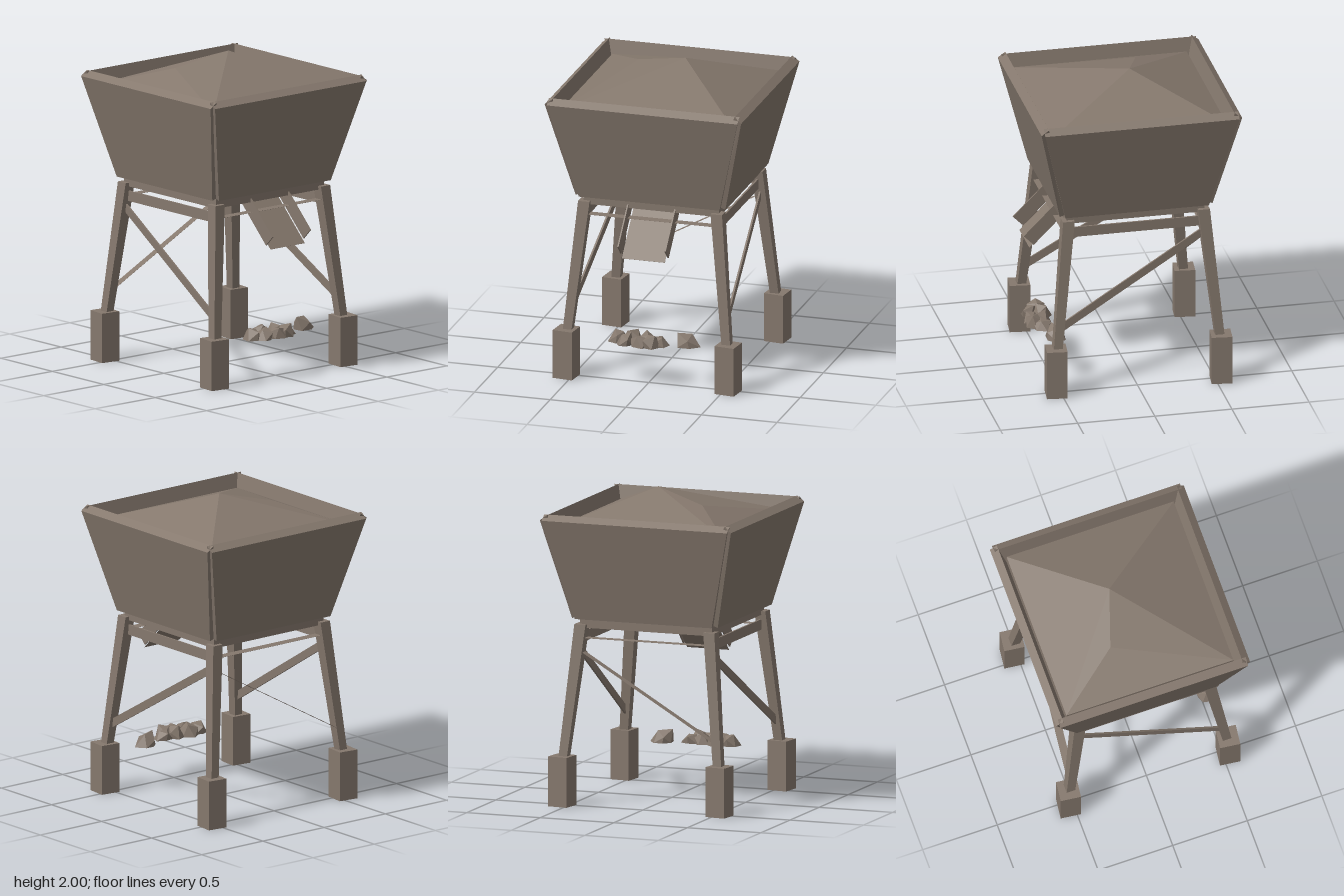
import * as THREE from 'three';

const stone = new THREE.MeshStandardMaterial({ color: 0x85786d, side: THREE.DoubleSide });
stone.name = 'weatheredBrown';

function add(parent, geometry, name, x = 0, y = 0, z = 0) {
  const mesh = new THREE.Mesh(geometry, stone);
  mesh.name = name;
  mesh.position.set(x, y, z);
  parent.add(mesh);
  return mesh;
}

// Move every vertex by a rule and rebuild faceted normals
function reshape(geometry, rule) {
  const g = geometry.index ? geometry.toNonIndexed() : geometry;
  const p = g.attributes.position;
  const v = new THREE.Vector3();
  for (let i = 0; i < p.count; i++) {
    rule(v.fromBufferAttribute(p, i));
    p.setXYZ(i, v.x, v.y, v.z);
  }
  g.computeVertexNormals();
  return g;
}

// Box without its underside
function openBox(w, h, d) {
  const g = new THREE.BoxGeometry(w, h, d);
  const faces = [...g.index.array];
  faces.splice(18, 6);
  g.setIndex(faces);
  g.clearGroups();
  return g;
}

// Plank of the given section running from a to b
function plank(parent, name, a, b, width, height) {
  const start = new THREE.Vector3(...a);
  const end = new THREE.Vector3(...b);
  const mid = start.clone().add(end).multiplyScalar(0.5);
  const mesh = add(parent, new THREE.BoxGeometry(width, height, start.distanceTo(end)), name, mid.x, mid.y, mid.z);
  mesh.lookAt(end);
}

// Sloping hopper wall, narrower at the bottom, tilted outward
function wallGeometry() {
  return reshape(new THREE.BoxGeometry(2, 2, 2), (v) => {
    const top = v.y > 0, outer = v.z > 0;
    v.x *= top ? 0.63 : 0.465;
    v.y = top ? (outer ? 1.84 : 1.874) : (outer ? 1.195 : 1.21);
    v.z = top ? (outer ? 0.65 : 0.602) : (outer ? 0.495 : 0.447);
  });
}

// Heap of ore with an off-centre peak and a skirt down into the hopper
function heapGeometry() {
  const X = 0.566, Z = 0.56, Y = 1.79, B = 1.66;
  const points = [
    -X, Y, -Z, X, Y, -Z, X, Y, Z, -X, Y, Z,
    -X, B, -Z, X, B, -Z, X, B, Z, -X, B, Z,
    0.075, 2, -0.045, -0.27, 1.917, -0.16,
  ];
  const faces = [0, 8, 1, 1, 8, 2, 2, 8, 3, 3, 8, 9, 3, 9, 0, 0, 9, 8];
  for (let i = 0; i < 4; i++) {
    const j = (i + 1) % 4;
    faces.push(i, j, j + 4, i, j + 4, i + 4);
  }
  const g = new THREE.BufferGeometry();
  g.setAttribute('position', new THREE.Float32BufferAttribute(points, 3));
  g.setIndex(faces);
  return reshape(g, () => {});
}

// Angular lump with a flat underside
function rockGeometry(seed, sx, sy, sz) {
  return reshape(new THREE.IcosahedronGeometry(1, 0), (v) => {
    const k = 1 + 0.18 * Math.sin(v.x * 7.1 + v.y * 5.3 + v.z * 9.7 + seed * 2.3);
    v.multiplyScalar(k);
    v.y = Math.max(v.y, 0);
    v.set((v.x + v.y * 0.25 * Math.sin(seed)) * sx, v.y * sy, v.z * sz);
  });
}

export function createModel() {
  const model = new THREE.Group();
  model.name = 'oreHopper';

  // Hopper: four walls, floor slab and the heap inside
  const hopper = new THREE.Group();
  hopper.name = 'hopper';
  model.add(hopper);
  const wall = wallGeometry();
  for (let i = 0; i < 4; i++) {
    add(hopper, wall, 'hopperWall').rotation.y = i * Math.PI / 2;
  }
  add(hopper, new THREE.BoxGeometry(0.895, 0.077, 0.895), 'hopperFloor', 0, 1.173, 0);
  add(hopper, heapGeometry(), 'oreHeap');

  // Legs taper downward and splay out onto slightly turned, hollow footings
  const frame = new THREE.Group();
  frame.name = 'supportFrame';
  model.add(frame);
  for (const sx of [-1, 1]) {
    for (const sz of [-1, 1]) {
      const leg = reshape(new THREE.BoxGeometry(1, 1, 1), (v) => {
        const t = v.y + 0.5;
        const size = 0.057 + 0.019 * t;
        const centre = 0.526 - 0.088 * t;
        v.set(v.x * size + sx * centre, 0.3 + 0.859 * t, v.z * size + sz * centre);
      });
      add(frame, leg, 'leg');
      const footing = add(frame, openBox(0.132, 0.32, 0.132), 'footing', sx * 0.535, 0.16, sz * 0.534);
      footing.rotation.y = -0.115;
    }
    // Side rails and diagonal braces
    plank(frame, 'sideRail', [sx * 0.44, 1.072, 0.42], [sx * 0.44, 1.072, -0.42], 0.012, 0.066);
    plank(frame, 'sideBrace', [sx * 0.512, 0.445, 0.5], [sx * 0.452, 1.005, -0.44], 0.012, 0.05);
    // Flat thin planks across front and back
    plank(frame, 'crossRail', [-0.42, 1.072, sx * 0.44], [0.42, 1.072, sx * 0.44], 0.06, 0.001);
  }
  plank(frame, 'backBrace', [0.43, 0.985, -0.45], [-0.49, 0.465, -0.51], 0.05, 0.001);

  // Discharge chute: thin sloping floor along the lower edges of two cheeks
  const chute = new THREE.Group();
  chute.name = 'chute';
  model.add(chute);
  plank(chute, 'chuteFloor', [0, 0.855, 0.62], [0, 1.145, 0.33], 0.285, 0.001);
  for (const s of [-1, 1]) {
    plank(chute, 'chuteCheek', [s * 0.156, 0.9125, 0.6275], [s * 0.156, 1.16, 0.38], 0.009, 0.092);
  }

  // Spilled lumps below the chute: x, z, half-width, height, half-depth
  const rocks = new THREE.Group();
  rocks.name = 'spilledOre';
  model.add(rocks);
  [
    [-0.2, 0.5, 0.06, 0.088, 0.065], [-0.145, 0.555, 0.058, 0.086, 0.07],
    [-0.1, 0.49, 0.058, 0.082, 0.07], [-0.05, 0.56, 0.058, 0.086, 0.07],
    [-0.01, 0.5, 0.06, 0.084, 0.065], [0.03, 0.555, 0.06, 0.082, 0.065],
    [0.075, 0.53, 0.064, 0.075, 0.065], [0.25, 0.465, 0.078, 0.086, 0.072],
  ].forEach(([x, z, w, h, d], i) => {
    add(rocks, rockGeometry(i + 1, w, h, d), 'oreLump', x, 0.262, z).rotation.y = i * 0.5;
  });

  return model;
}
